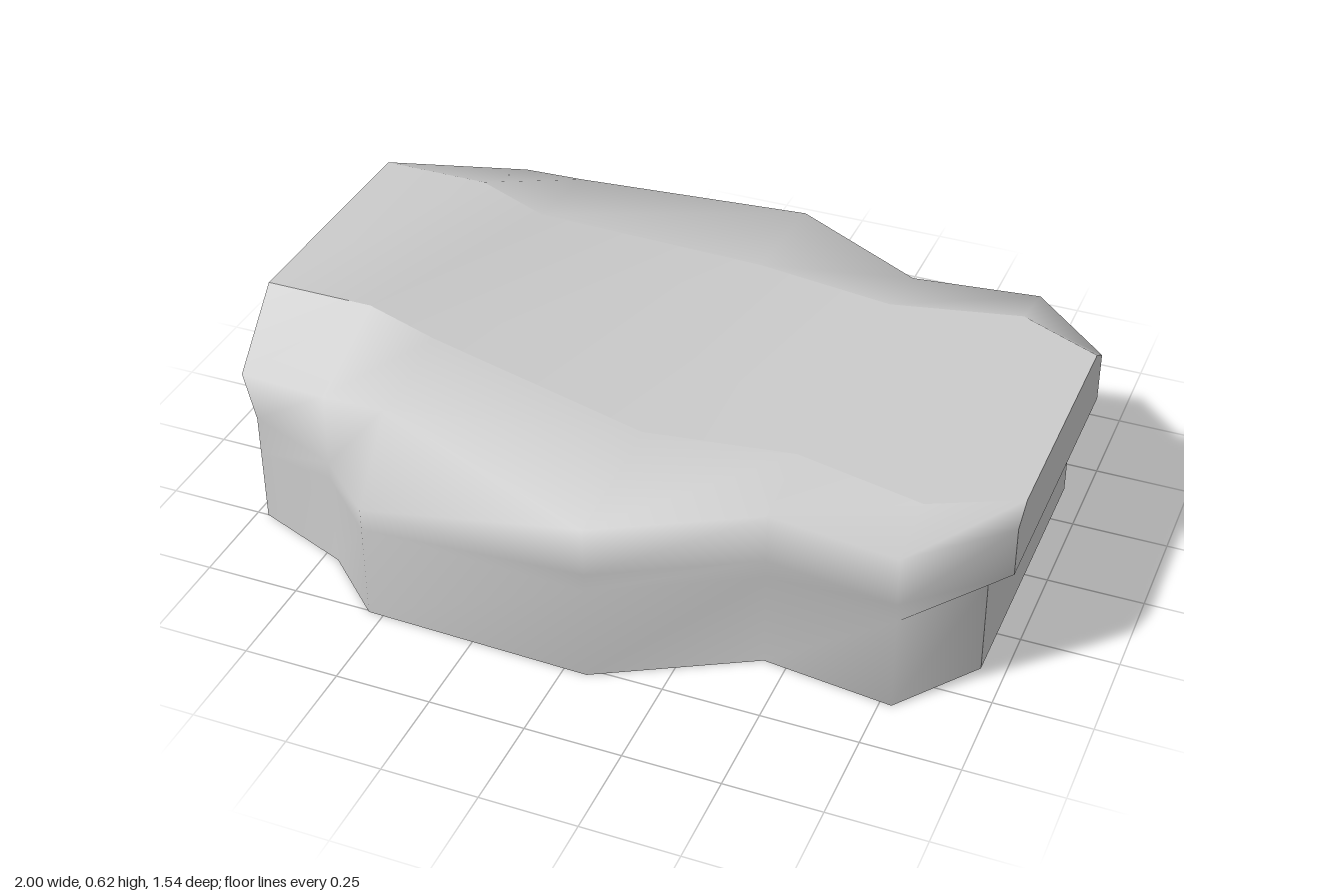
import * as THREE from 'three';

// Stations along x: base x, upper x, wall half width,
// heights of lip bottom and lip top, shoulder [z, y], top edge [z, y]
const stations = [
  [-0.97, -1.0, 0.5, 0.2, 0.31, 0.5, 0.44, 0.33, 0.615],
  [-0.71, -0.71, 0.6, 0.26, 0.31, 0.6, 0.51, 0.33, 0.615],
  [-0.54, -0.54, 0.755, 0.26, 0.32, 0.6, 0.515, 0.325, 0.555],
  [0.06, 0.06, 0.77, 0.26, 0.31, 0.77, 0.445, 0.41, 0.485],
  [0.44, 0.44, 0.56, 0.26, 0.31, 0.56, 0.445, 0.355, 0.485],
  [0.78, 0.78, 0.6, 0.26, 0.31, 0.6, 0.445, 0.43, 0.485],
  [0.94, 1.0, 0.39, 0.26, 0.31, 0.39, 0.445, 0.325, 0.485],
];

// Half cross-section of one station, from the ground up to the top edge
function section([xb, xt, w, y1, y2, sz, sy, tz, ty], side) {
  const lipX = xt < 0 ? xb : xt;
  return [
    [xb, 0, w], [xb, y1, w], [lipX, y2, w], [xt, sy, sz], [xt, ty, tz],
  ].map(([x, y, z]) => [x, y, z * side]);
}

const material = new THREE.MeshStandardMaterial({ color: 0xcccccc });

// Surface through rows of points; faces along (row direction) x (next row)
function sheet(name, rows, flat = false) {
  const n = rows[0].length, index = [];
  for (let j = 0; j < rows.length - 1; j++) {
    for (let i = 0; i < n - 1; i++) {
      const a = j * n + i, b = a + 1, c = b + n, d = a + n;
      index.push(a, b, c, a, c, d);
    }
  }
  let geometry = new THREE.BufferGeometry();
  geometry.setAttribute('position', new THREE.Float32BufferAttribute(rows.flat(2), 3));
  geometry.setIndex(index);
  if (flat) geometry = geometry.toNonIndexed();
  geometry.computeVertexNormals();
  const mesh = new THREE.Mesh(geometry, material);
  mesh.name = name;
  return mesh;
}

export function createModel() {
  const group = new THREE.Group();
  group.name = 'slopedBlock';

  // Rows running along x, one for each level of the cross-section
  const rowsOf = (side) => [0, 1, 2, 3, 4].map((j) => stations.map((s) => section(s, side)[j]));
  const front = rowsOf(1), back = rowsOf(-1);

  // Long sides with softly rounded shoulders
  group.add(sheet('frontSide', front));
  group.add(sheet('backSide', [...back].reverse()));

  // Sloping top and flat underside
  group.add(sheet('top', [front[4], back[4]]));
  group.add(sheet('underside', [back[0], front[0]], true));

  // End faces, closing each level from side to side
  const last = stations.length - 1;
  group.add(sheet('leftEnd', front.map((r, j) => [r[last], back[j][last]]), true));
  group.add(sheet('rightEnd', front.map((r, j) => [back[j][0], r[0]]), true));
  return group;
}
